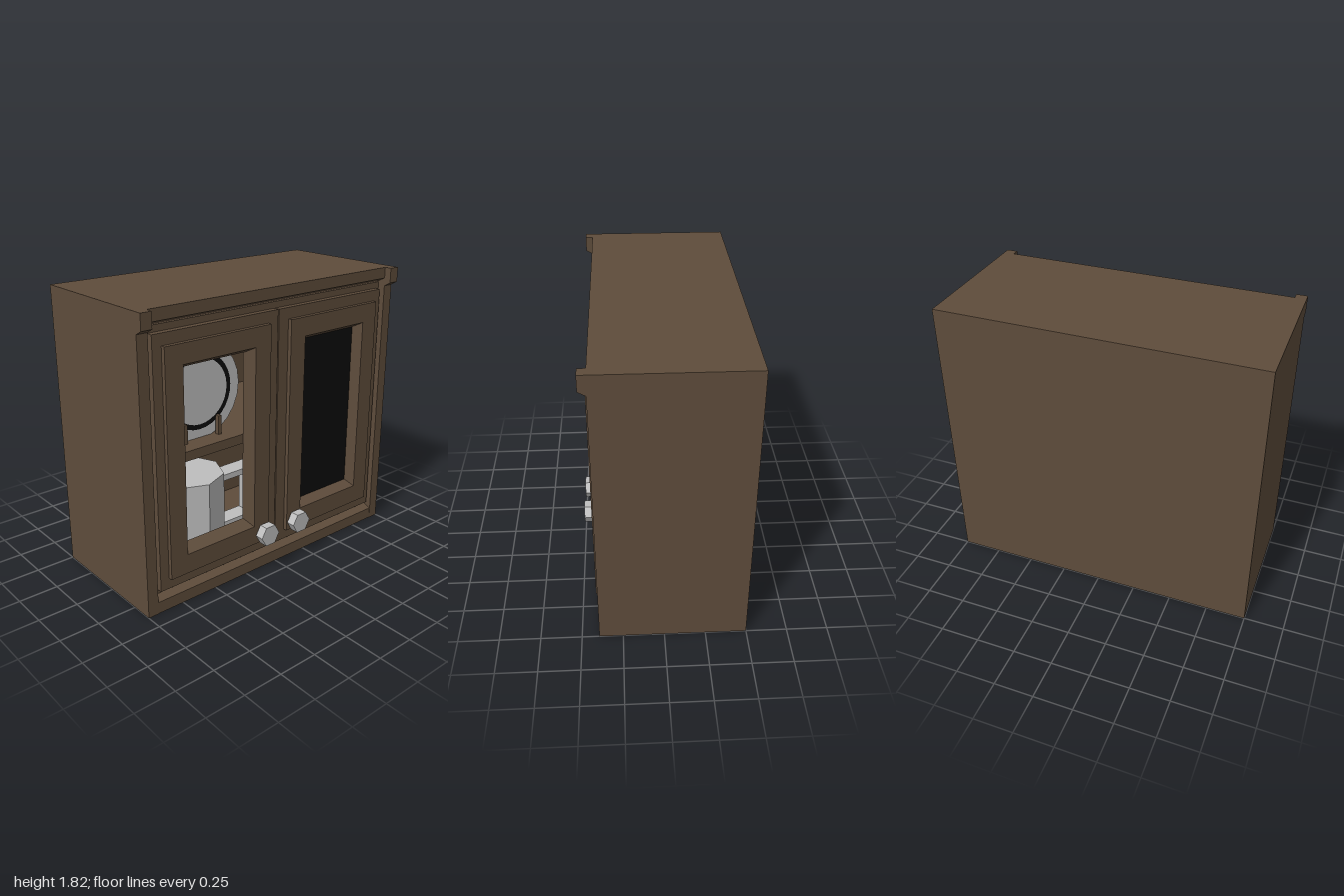
import * as THREE from 'three';

const wood = new THREE.MeshStandardMaterial({ color: 0x5e4c3b });
wood.name = 'brown wood';
const pale = new THREE.MeshStandardMaterial({ color: 0xbebebe });
pale.name = 'pale grey';
const black = new THREE.MeshStandardMaterial({ color: 0x0c0c0c });
black.name = 'black';

export function createModel() {
  const root = new THREE.Group();
  root.name = 'wallCabinet';

  function add(name, geometry, material, parent = root) {
    const mesh = new THREE.Mesh(geometry, material);
    mesh.name = name;
    parent.add(mesh);
    return mesh;
  }
  // Box given by its limits on each axis
  function box(name, x0, x1, y0, y1, z0, z1, material = wood, parent = root) {
    const g = new THREE.BoxGeometry(x1 - x0, y1 - y0, z1 - z0);
    g.translate((x0 + x1) / 2, (y0 + y1) / 2, (z0 + z1) / 2);
    return add(name, g, material, parent);
  }
  // Side profile in x and y, swept along z
  function sweep(name, points, z0, z1) {
    const shape = new THREE.Shape(points.map(p => new THREE.Vector2(...p)));
    const g = new THREE.ExtrudeGeometry(shape, { depth: z1 - z0, bevelEnabled: false });
    return add(name, g.translate(0, 0, z0), wood);
  }
  // Rectangle [z0, z1, y0, y1] as corners, with shape x standing for -z
  const corners = ([z0, z1, y0, y1]) =>
    [[-z1, y0], [-z0, y0], [-z0, y1], [-z1, y1]].map(p => new THREE.Vector2(...p));
  // Upright panel with a rectangular opening, swept along x
  function frame(name, outer, inner, x0, x1, parent = root) {
    const shape = new THREE.Shape(corners(outer));
    shape.holes.push(new THREE.Path(corners(inner)));
    const g = new THREE.ExtrudeGeometry(shape, { depth: x1 - x0, bevelEnabled: false });
    return add(name, g.rotateY(Math.PI / 2).translate(x0, 0, 0), wood, parent);
  }
  // Sloped strips joining a wide opening at xa to a narrow one at xb
  function bevel(name, outer, inner, xa, xb, parent) {
    const a = corners(outer), b = corners(inner), pos = [];
    for (let i = 0; i < 4; i++) {
      const j = (i + 1) % 4;
      const quad = [[xa, a[i]], [xa, a[j]], [xb, b[j]], [xb, b[i]]];
      for (const k of [0, 1, 2, 0, 2, 3]) pos.push(quad[k][0], quad[k][1].y, -quad[k][1].x);
    }
    const g = new THREE.BufferGeometry();
    g.setAttribute('position', new THREE.Float32BufferAttribute(pos, 3));
    g.computeVertexNormals();
    return add(name, g, wood, parent);
  }
  // Cylinder lying along x
  function disc(name, r0, r1, x0, x1, y, z, sides, material, parent = root) {
    const g = new THREE.CylinderGeometry(r1, r0, x1 - x0, sides).toNonIndexed();
    g.computeVertexNormals();
    g.rotateZ(-Math.PI / 2).translate((x0 + x1) / 2, y, z);
    return add(name, g, material, parent);
  }

  // Carcass: side walls with cornice ends, top, bottom, back
  const side = [[-0.5, 0], [0.395, 0], [0.395, 1.7], [0.44, 1.725], [0.44, 1.82], [-0.5, 1.82]];
  sweep('leftWall', side, 0.93, 1);
  sweep('rightWall', side, -1, -0.93);
  sweep('top', [[-0.5, 1.72], [0.33, 1.72], [0.393, 1.75], [0.393, 1.82], [-0.5, 1.82]], -0.93, 0.93);
  sweep('bottom', [[-0.5, 0], [0.393, 0], [0.393, 0.075], [0.33, 0.1], [-0.5, 0.1]], -0.93, 0.93);
  box('back', -0.5, -0.46, 0.1, 1.72, -0.93, 0.93);

  // Recessed front and the two doors
  const openings = { left: [0.225, 0.695, 0.36, 1.455], right: [-0.695, -0.225, 0.36, 1.455] };
  frame('leftFrontFrame', [0, 0.93, 0.1, 1.72], openings.left, 0.325, 0.345);
  frame('rightFrontFrame', [-0.93, 0, 0.1, 1.72], openings.right, 0.325, 0.345);
  for (const name of ['left', 'right']) {
    const door = new THREE.Group();
    door.name = name + 'Door';
    root.add(door);
    const span = (a, b, y0, y1) => name === 'left' ? [a, b, y0, y1] : [-b, -a, y0, y1];
    const wide = span(0.2, 0.72, 0.325, 1.49);
    frame('doorPanel', span(0.004, 0.9, 0.13, 1.68), wide, 0.345, 0.383, door);
    frame('raisedPanel', span(0.08, 0.84, 0.2, 1.61), wide, 0.383, 0.41, door);
    bevel('windowBevel', wide, openings[name], 0.41, 0.345, door);
    const z = name === 'left' ? 0.135 : -0.135;
    disc('knobStem', 0.037, 0.037, 0.4, 0.436, 0.275, z, 6, wood, door);
    disc('knob', 0.072, 0.072, 0.434, 0.492, 0.275, z, 6, pale, door);
  }
  box('darkPane', 0.335, 0.343, 0.36, 1.455, -0.695, -0.225, black);

  // Shelf with a displayed plate between two pegs
  box('shelf', -0.46, 0.32, 0.87, 0.93, -0.93, 0.93);
  const plate = new THREE.Group();
  plate.name = 'plate';
  root.add(plate);
  const py = 1.22, pz = 0.45;
  disc('plateRim', 0.25, 0.305, 0.16, 0.19, py, pz, 24, pale, plate);
  disc('plateBand', 0.237, 0.237, 0.188, 0.193, py, pz, 32, black, plate);
  disc('plateCentre', 0.205, 0.205, 0.19, 0.196, py, pz, 32, pale, plate);
  for (const z of [0.325, 0.58]) box('platePeg', 0.2, 0.23, 0.93, 1.05, z - 0.012, z + 0.012);

  // Eight-sided mug with a square handle
  const mug = new THREE.Group();
  mug.name = 'mug';
  root.add(mug);
  const body = new THREE.CylinderGeometry(0.245, 0.245, 0.56, 8).toNonIndexed();
  body.computeVertexNormals();
  add('mugBody', body.translate(0.055, 0.38, 0.467), pale, mug);
  box('handleTop', 0, 0.12, 0.54, 0.58, -0.06, 0.25, pale, mug);
  box('handleGrip', 0, 0.12, 0.24, 0.54, -0.06, -0.02, pale, mug);
  box('handleBottom', 0, 0.12, 0.2, 0.24, -0.06, 0.25, pale, mug);

  return root;
}
